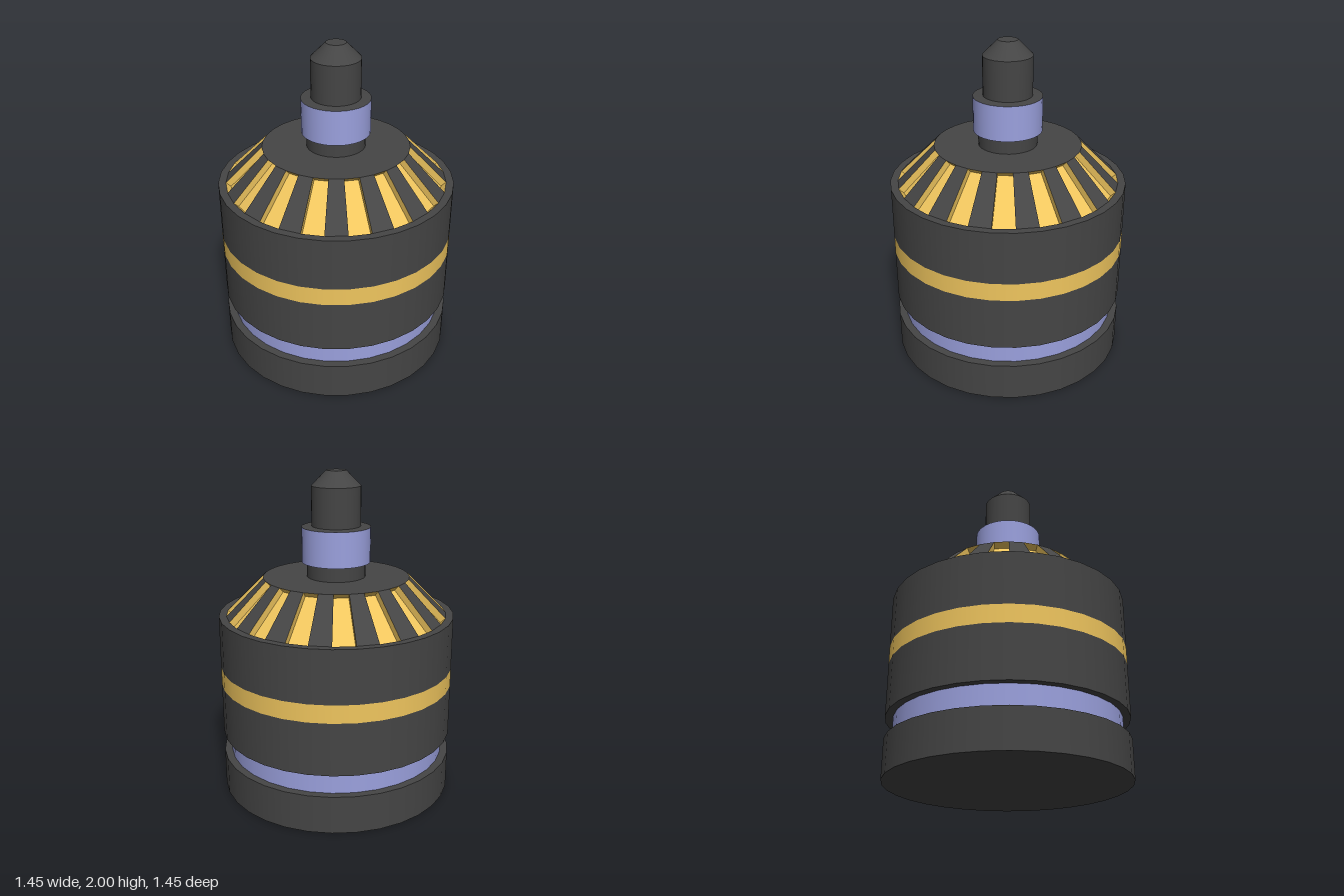
import * as THREE from 'three';
import { mergeGeometries } from 'three/addons/utils/BufferGeometryUtils.js';

const SIDES = 32;
const dark = new THREE.MeshStandardMaterial({ color: 0x454545 });
const gold = new THREE.MeshStandardMaterial({ color: 0xf0c65e });
const lavender = new THREE.MeshStandardMaterial({ color: 0x9ba1de });

// Turned surface through [radius, y] points, with a sharp edge at each point
function turned(name, points, material) {
  const bands = [];
  for (let i = 0; i < points.length - 1; i++) {
    const pair = [points[i], points[i + 1]].map(([r, y]) => new THREE.Vector2(r, y));
    bands.push(new THREE.LatheGeometry(pair, SIDES));
  }
  const mesh = new THREE.Mesh(mergeGeometries(bands), material);
  mesh.name = name;
  return mesh;
}

// Flat-shaded mesh from quads with corners counter-clockwise
function quadMesh(name, quads, material) {
  const positions = [];
  for (const [a, b, c, d] of quads) {
    for (const p of [a, b, c, a, c, d]) positions.push(p.x, p.y, p.z);
  }
  const geometry = new THREE.BufferGeometry();
  geometry.setAttribute('position', new THREE.Float32BufferAttribute(positions, 3));
  geometry.computeVertexNormals();
  const mesh = new THREE.Mesh(geometry, material);
  mesh.name = name;
  return mesh;
}

// Sloped shoulder: solid ribs alternating with recessed slots
function createShoulder() {
  const low = [0.68, 1.13], high = [0.45, 1.36], depth = 0.042;
  const at = ([r, y], i) => {
    const angle = (i / SIDES) * Math.PI * 2;
    return new THREE.Vector3(r * Math.sin(angle), y, r * Math.cos(angle));
  };
  const ribs = [], slots = [];
  for (let i = 0; i < SIDES; i++) {
    const rim = [at(low, i), at(low, i + 1), at(high, i + 1), at(high, i)];
    if (i % 2) {
      ribs.push(rim);
      continue;
    }
    const normal = new THREE.Plane().setFromCoplanarPoints(rim[0], rim[1], rim[2]).normal;
    const floor = rim.map((p) => p.clone().addScaledVector(normal, -depth));
    slots.push(floor);
    for (let k = 0; k < 4; k++) {
      const n = (k + 1) % 4;
      slots.push([rim[k], rim[n], floor[n], floor[k]]);
    }
  }
  const group = new THREE.Group();
  group.name = 'shoulder';
  group.add(quadMesh('shoulderRibs', ribs, dark), quadMesh('shoulderSlots', slots, gold));
  return group;
}

export function createModel() {
  const model = new THREE.Group();
  model.name = 'ribbedCanister';
  const R = 0.727;

  model.add(
    // Base and the recessed ring above it
    turned('base', [[0, 0], [R, 0], [R, 0.235], [0.68, 0.235]], dark),
    turned('recessedRing', [[0.68, 0.235], [0.68, 0.37]], lavender),

    // Main drum with its band
    turned('lowerDrum', [[0.68, 0.37], [R, 0.37], [R, 0.695]], dark),
    turned('drumBand', [[R, 0.695], [R, 0.805]], gold),
    turned('upperDrum', [[R, 0.805], [R, 1.13], [0.68, 1.13]], dark),

    createShoulder(),

    // Cap, neck and collar
    turned('capAndNeck', [[0.45, 1.36], [0.18, 1.36], [0.18, 1.45], [0.21, 1.45]], dark),
    turned('collar', [[0.21, 1.45], [0.21, 1.665]], lavender),

    // Stem with a tapered tip
    turned('stem', [[0.21, 1.665], [0.15, 1.67], [0.15, 1.91], [0.06, 2], [0, 2]], dark)
  );
  return model;
}
